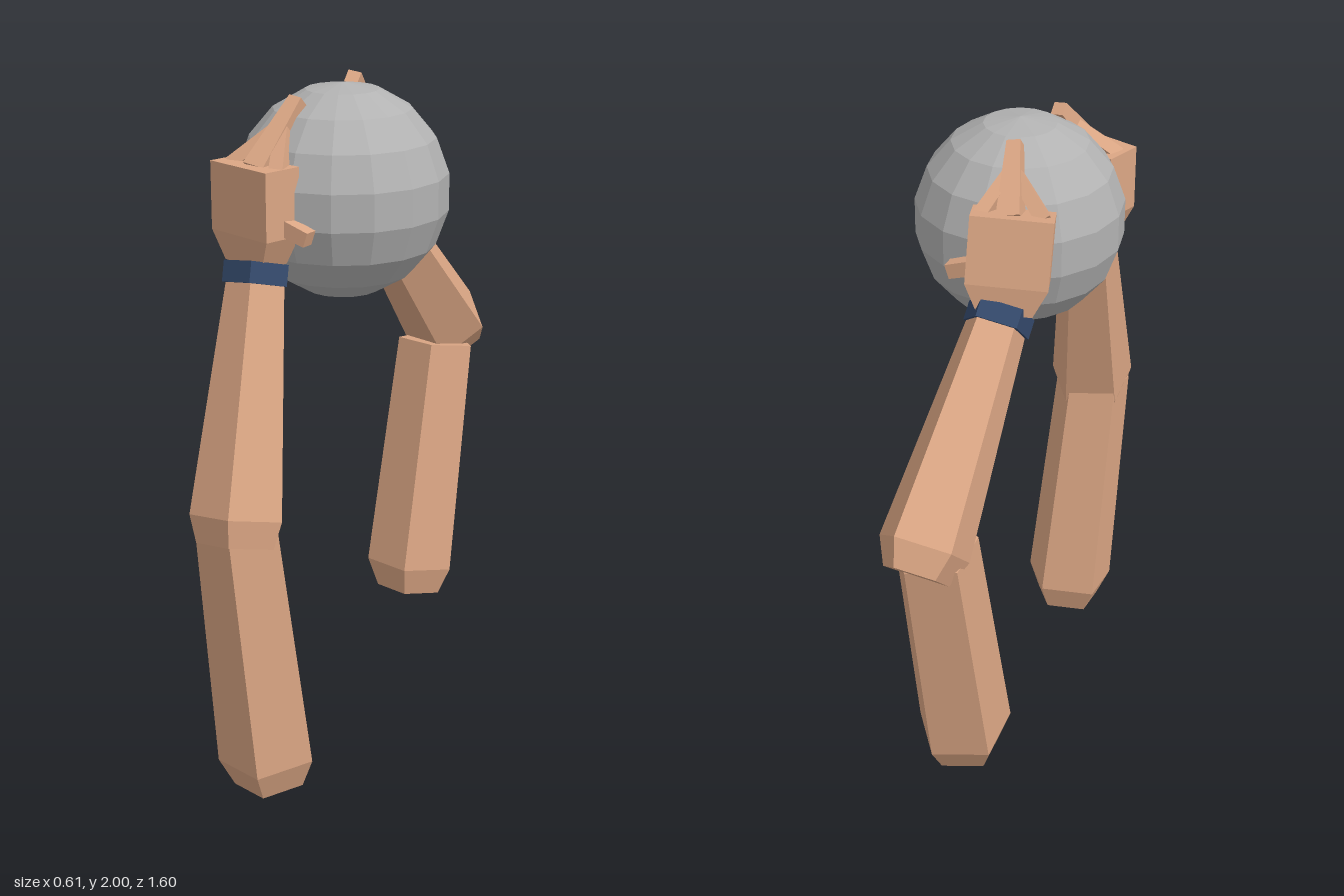
import * as THREE from 'three';

const skin = new THREE.MeshStandardMaterial({ color: 0xdba684 });
skin.name = 'skin';
const navy = new THREE.MeshStandardMaterial({ color: 0x34496b });
navy.name = 'navy';
const grey = new THREE.MeshStandardMaterial({ color: 0xb2b2b2 });
grey.name = 'ball grey';

// Faceted mesh: every face keeps its own normal
function faceted(name, geometry, material) {
  const g = geometry.index ? geometry.toNonIndexed() : geometry;
  g.computeVertexNormals();
  const mesh = new THREE.Mesh(g, material);
  mesh.name = name;
  return mesh;
}

// Closed prism through rings [x, y, z, radius]; the first corner points along ref
function loft(name, rings, sides, material, turn = 0, ref = [1, 0, 0]) {
  const first = new THREE.Vector3(...rings[0]);
  const last = new THREE.Vector3(...rings[rings.length - 1]);
  const axis = last.clone().sub(first).normalize();
  const u = new THREE.Vector3(...ref);
  u.addScaledVector(axis, -u.dot(axis)).normalize();
  const v = axis.clone().cross(u);
  const loops = rings.map(([x, y, z, r]) => Array.from({ length: sides }, (_, i) => {
    const a = turn + (i / sides) * Math.PI * 2;
    return new THREE.Vector3(x, y, z)
      .addScaledVector(u, r * Math.cos(a))
      .addScaledVector(v, r * Math.sin(a));
  }));
  const points = [];
  const bottom = loops[0], top = loops[loops.length - 1];
  for (let i = 0; i < sides; i++) {
    const j = (i + 1) % sides;
    for (let k = 0; k < loops.length - 1; k++) {
      const a = loops[k], b = loops[k + 1];
      points.push(a[i], a[j], b[j], a[i], b[j], b[i]);
    }
    points.push(first, bottom[j], bottom[i], last, top[i], top[j]);
  }
  return faceted(name, new THREE.BufferGeometry().setFromPoints(points), material);
}

// Palm block, tapered towards the wrist
function palm(position, rotation) {
  const g = new THREE.BoxGeometry(0.23, 0.275, 0.12, 1, 2, 1);
  const p = g.attributes.position;
  for (let i = 0; i < p.count; i++) {
    if (p.getY(i) < -0.1) {
      p.setX(i, p.getX(i) * 0.67);
      p.setZ(i, p.getZ(i) * 0.75);
    } else if (p.getY(i) < 0.1) p.setY(i, -0.055);
  }
  const mesh = faceted('palm', g, skin);
  mesh.position.set(...position);
  mesh.rotation.set(...rotation);
  return mesh;
}

// Whole arm: upper arm, forearm, wristband, palm, fingers and thumb
function arm(name, d) {
  const group = new THREE.Group();
  group.name = name;
  group.add(
    loft('upperArm', d.upper, 5, skin),
    loft('forearm', d.fore, 5, skin),
    loft('wristband', d.band, 5, navy),
    palm(d.palm, d.palmTurn),
    loft('thumb', d.thumb, 4, skin, Math.PI / 4, [0, 0, 1]),
  );
  // Middle finger reaches the tip, side fingers lean in against it
  const [mid, ...sides] = d.knuckles;
  group.add(loft('middleFinger', [[...mid, 0.048], [...d.tip, 0.028]], 4, skin, Math.PI / 4));
  const meet = mid.map((c, i) => c + (d.tip[i] - c) * 0.65);
  sides.forEach((k) => {
    group.add(loft('sideFinger', [[...k, 0.03], [...meet, 0.025]], 4, skin, Math.PI / 4));
  });
  return group;
}

export function createModel() {
  const model = new THREE.Group();
  model.name = 'armsHoldingBall';

  const ball = faceted('ball', new THREE.SphereGeometry(0.308, 16, 9), grey);
  ball.position.set(0, 1.687, 0.137);
  model.add(ball);

  model.add(arm('frontArm', {
    upper: [[-0.003, 0.012, 0.585, 0.107], [-0.007, 0.1, 0.59, 0.147], [-0.05, 0.87, 0.66, 0.123]],
    fore: [[-0.035, 0.79, 0.69, 0.115], [-0.04, 0.866, 0.672, 0.137], [-0.09, 1.5, 0.465, 0.085]],
    band: [[-0.088, 1.478, 0.475, 0.096], [-0.092, 1.535, 0.456, 0.096]],
    palm: [-0.108, 1.672, 0.442],
    palmTurn: [0, -0.32, 0],
    knuckles: [[-0.095, 1.79, 0.445], [-0.19, 1.79, 0.42], [-0.02, 1.79, 0.465]],
    tip: [-0.053, 1.965, 0.295],
    thumb: [[-0.03, 1.655, 0.45, 0.032], [0.07, 1.622, 0.456, 0.03]],
  }));

  model.add(arm('backArm', {
    upper: [[-0.078, 0.19, -0.463, 0.107], [-0.08, 0.278, -0.476, 0.145], [-0.06, 1.02, -0.613, 0.125]],
    fore: [[-0.058, 1.003, -0.733, 0.1], [-0.06, 1.062, -0.68, 0.137], [-0.09, 1.555, -0.232, 0.088]],
    band: [[-0.09, 1.535, -0.25, 0.1], [-0.092, 1.576, -0.212, 0.1]],
    palm: [-0.108, 1.715, -0.198],
    palmTurn: [0.2, 0.32, 0],
    knuckles: [[-0.1, 1.83, -0.17], [-0.19, 1.83, -0.145], [-0.02, 1.83, -0.2]],
    tip: [-0.045, 1.982, -0.008],
    thumb: [[-0.03, 1.695, -0.2, 0.032], [0.07, 1.662, -0.203, 0.03]],
  }));

  return model;
}
